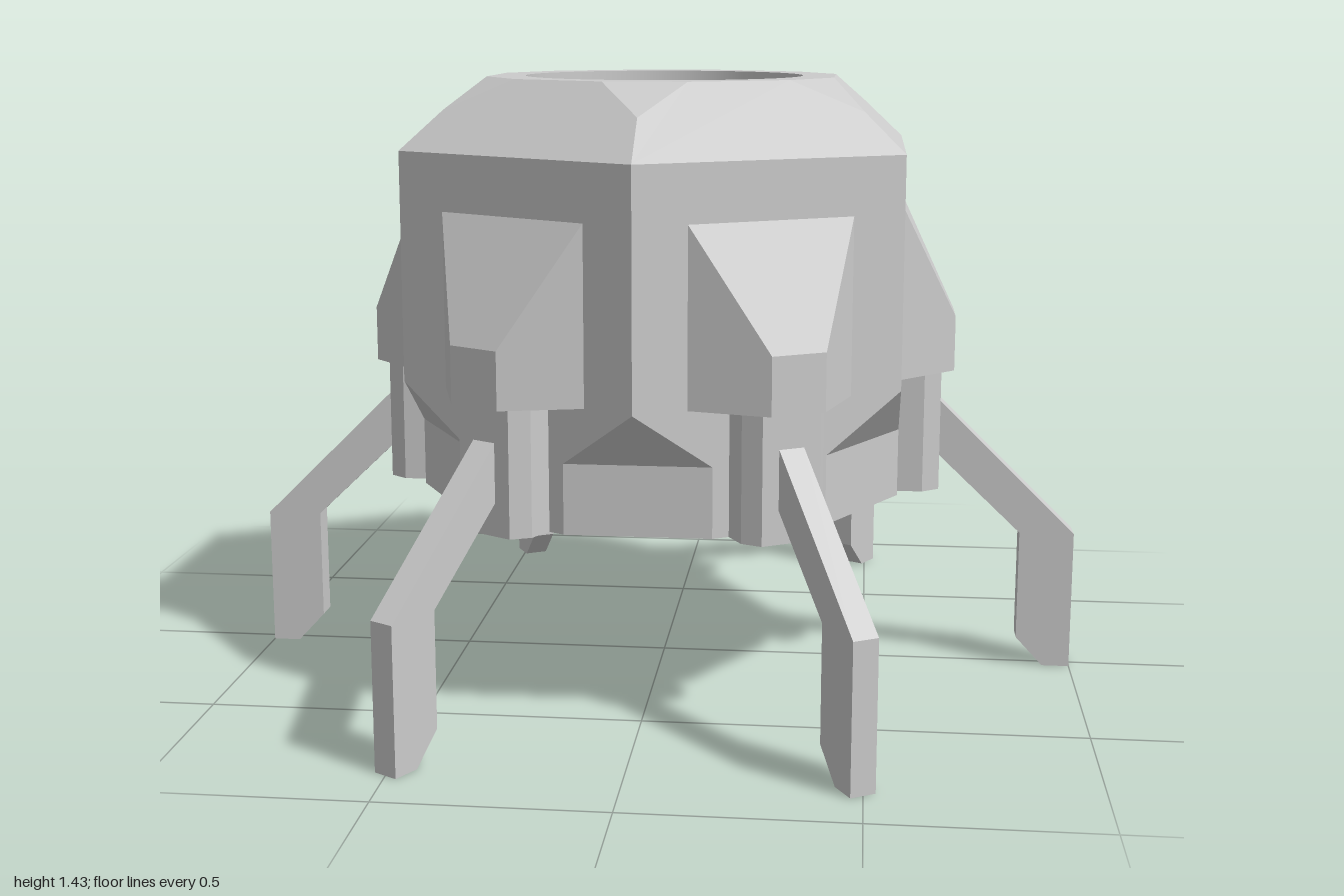
import * as THREE from 'three';
import { ConvexGeometry } from 'three/addons/geometries/ConvexGeometry.js';

const SIDES = 6, STEP = Math.PI / 3;
const APOTHEM = 0.57;                     // centre to flat wall
const HALF = APOTHEM * Math.tan(STEP / 2); // half the length of a wall
const CUT = 0.14;                         // half wall length below the corner cuts
const TOP = 0.405, TOP_HALF = 0.125;      // roof rim
const RIDGE = 0.477, RIDGE_HALF = RIDGE * Math.tan(STEP / 2);

const mat = new THREE.MeshStandardMaterial({ color: 0xcccccc, flatShading: true });
const smooth = new THREE.MeshStandardMaterial({ color: 0xcccccc, side: THREE.DoubleSide });

// Rotate a point [outward, y, sideways] around the vertical axis
function turn([n, y, t], a) {
  return [n * Math.cos(a) - t * Math.sin(a), y, n * Math.sin(a) + t * Math.cos(a)];
}

function mesh(name, geometry, material = mat) {
  const m = new THREE.Mesh(geometry, material);
  m.name = name;
  return m;
}

// Six identical wall sectors, each with the corner on its +t side
function hullGeometry() {
  const pos = [];
  const face = (a, ...pts) => {
    const p = pts.map(q => turn(q, a));
    for (let i = 1; i < p.length - 1; i++) pos.push(...p[0], ...p[i], ...p[i + 1]);
  };
  const W = APOTHEM;
  for (let k = 0; k < SIDES; k++) {
    const a = k * STEP;
    const next = (n, y, t) => turn([n, y, t], STEP); // point on the neighbouring sector
    // wall
    face(a, [W, 0.45, CUT], [W, 0.45, -CUT], [W, 0.61, -CUT], [W, 0.61, CUT]);
    face(a, [W, 0.61, CUT], [W, 0.61, -CUT], [W, 0.74, -HALF],
      [W, 1.27, -HALF], [W, 1.27, HALF], [W, 0.74, HALF]);
    // sloping roof
    face(a, [W, 1.27, HALF], [W, 1.27, -HALF], [RIDGE, 1.36, -RIDGE_HALF],
      [TOP, 1.43, -TOP_HALF], [TOP, 1.43, TOP_HALF], [RIDGE, 1.36, RIDGE_HALF]);
    // roof corner facet
    face(a, next(TOP, 1.43, -TOP_HALF), [RIDGE, 1.36, RIDGE_HALF], [TOP, 1.43, TOP_HALF]);
    // cut lower corner: sloping triangle and upright panel
    face(a, [W, 0.74, HALF], next(W, 0.61, -CUT), [W, 0.61, CUT]);
    face(a, next(W, 0.45, -CUT), [W, 0.45, CUT], [W, 0.61, CUT], next(W, 0.61, -CUT));
    // underside
    face(a, [0, 0.45, 0], [W, 0.45, -CUT], [W, 0.45, CUT], next(W, 0.45, -CUT));
  }
  const g = new THREE.BufferGeometry();
  g.setAttribute('position', new THREE.Float32BufferAttribute(pos, 3));
  g.computeVertexNormals();
  return g;
}

// Flat twelve-sided rim with a round opening
function rimGeometry() {
  const pts = [];
  for (let k = 0; k < SIDES; k++) {
    for (const t of [-TOP_HALF, TOP_HALF]) {
      const [x, , z] = turn([TOP, 0, t], k * STEP);
      pts.push(new THREE.Vector2(x, z));
    }
  }
  const shape = new THREE.Shape(pts);
  shape.holes.push(new THREE.Path().absarc(0, 0, 0.33, 0, Math.PI * 2, true));
  return new THREE.ShapeGeometry(shape, 24).rotateX(-Math.PI / 2).translate(0, 1.43, 0);
}

// Convex solid from points given for one side and mirrored to the other
function mirroredSolid(points) {
  return new ConvexGeometry(points.flatMap(([x, y, z]) =>
    [new THREE.Vector3(x, y, z), new THREE.Vector3(x, y, -z)]));
}

export function createModel() {
  const model = new THREE.Group();
  model.name = 'landerPod';

  model.add(mesh('hull', hullGeometry()));
  model.add(mesh('roofRim', rimGeometry()));

  // Shallow round recess in the roof
  const wall = new THREE.CylinderGeometry(0.33, 0.33, 0.04, 48, 1, true).translate(0, 1.41, 0);
  const floor = new THREE.CircleGeometry(0.33, 48).rotateX(-Math.PI / 2).translate(0, 1.39, 0);
  model.add(mesh('hatchWall', wall, smooth), mesh('hatchFloor', floor));

  // Wedge-shaped housing on each wall
  const housing = mirroredSolid([
    [APOTHEM, 1.14, 0.2], [APOTHEM, 0.74, 0.2], [0.7, 0.87, 0.065], [0.7, 0.74, 0.065],
  ]);

  // Chamfered post under each housing
  const post = mirroredSolid([0.45, 0.74].flatMap(y =>
    [[APOTHEM, y, 0.1], [0.63, y, 0.1], [0.67, y, 0.07]]));

  // Bent leg cut from a flat plate
  const leg = new THREE.ExtrudeGeometry(new THREE.Shape([
    [0.66, 0.66], [0.66, 0.535], [0.87, 0.335], [0.87, 0.07],
    [0.935, 0], [1, 0], [1, 0.335], [0.67, 0.66],
  ].map(([x, y]) => new THREE.Vector2(x, y))), { depth: 0.06, bevelEnabled: false });
  leg.translate(0, 0, -0.03);

  for (let k = 0; k < SIDES; k++) {
    const unit = new THREE.Group();
    unit.name = 'legUnit' + (k + 1);
    unit.add(mesh('housing', housing), mesh('post', post), mesh('leg', leg));
    unit.rotation.y = -k * STEP;
    model.add(unit);
  }
  return model;
}
